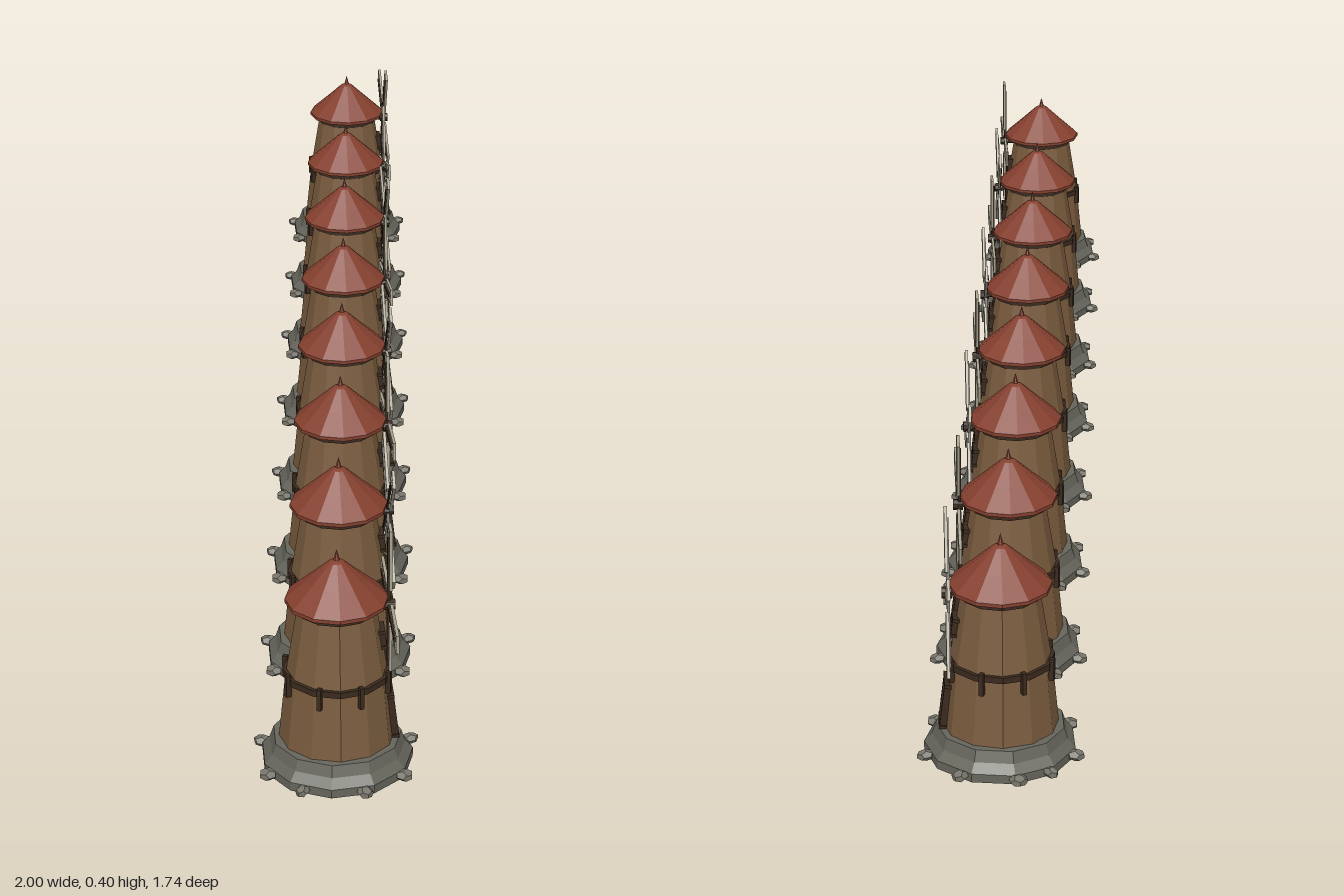
import * as THREE from 'three';

const mat = (color) => new THREE.MeshStandardMaterial({ color, flatShading: true });
const MATS = {
  wall: mat(0x7a5c3e), roof: mat(0x85402f), stone: mat(0x66655c),
  rock: mat(0x77756a), beam: mat(0x3a2a1e), canvas: mat(0xa9a28f), glass: mat(0x1c2528),
};
MATS.roof.side = THREE.DoubleSide;

function add(parent, name, geometry, material, x = 0, y = 0, z = 0) {
  const mesh = new THREE.Mesh(geometry, material);
  mesh.name = name;
  mesh.position.set(x, y, z);
  parent.add(mesh);
  return mesh;
}
const box = (w, h, d) => new THREE.BoxGeometry(w, h, d);
const lathe = (points, sides) =>
  new THREE.LatheGeometry(points.map(([r, y]) => new THREE.Vector2(r, y)), sides);

// Puts a named child at an angle around the tower, facing outward
function around(parent, name, angle) {
  const g = new THREE.Group();
  g.name = name;
  g.rotation.y = angle;
  parent.add(g);
  return g;
}

// Shared shapes
const GEO = {
  base: lathe([[0, 0], [0.118, 0], [0.118, 0.014], [0.106, 0.028], [0.1, 0.046], [0, 0.05]], 11),
  tower: lathe([[0.09, 0.04], [0.079, 0.15], [0.058, 0.28]], 12),
  belt: lathe([[0.076, 0.152], [0.083, 0.152], [0.083, 0.162], [0.074, 0.162]], 12),
  collar: lathe([[0.058, 0.262], [0.063, 0.264], [0.063, 0.28], [0.056, 0.28]], 12),
  roof: lathe([[0.05, 0.274], [0.079, 0.276], [0.079, 0.282], [0.045, 0.312], [0.012, 0.342], [0, 0.347]], 12),
  finial: new THREE.ConeGeometry(0.006, 0.022, 6),
  rock: new THREE.DodecahedronGeometry(0.014),
  bracket: box(0.007, 0.036, 0.008),
  spar: box(0.006, 0.11, 0.005),
  slat: box(0.028, 0.0165, 0.003),
  bar: box(0.031, 0.0025, 0.005),
  edge: box(0.002, 0.1, 0.005),
  hub: new THREE.CylinderGeometry(0.009, 0.009, 0.016, 8).rotateX(Math.PI / 2),
  axle: new THREE.CylinderGeometry(0.005, 0.005, 0.045, 6).rotateX(Math.PI / 2),
};

// Four lattice blades on a hub
function buildSails(turn) {
  const sails = new THREE.Group();
  sails.name = 'sails';
  add(sails, 'hub', GEO.hub, MATS.beam);
  for (let i = 0; i < 4; i++) {
    const blade = new THREE.Group();
    blade.name = 'blade';
    blade.rotation.z = i * Math.PI / 2;
    add(blade, 'spar', GEO.spar, MATS.beam, 0, 0.058, -0.002);
    for (let s = 0; s < 5; s++)
      add(blade, 'sailPanel', GEO.slat, MATS.canvas, 0, 0.041 + s * 0.0195, 0.001);
    for (let s = 0; s < 6; s++)
      add(blade, 'crossBar', GEO.bar, MATS.canvas, 0, 0.031 + s * 0.0195, 0);
    for (const side of [-1, 1])
      add(blade, 'sailEdge', GEO.edge, MATS.canvas, side * 0.0145, 0.08, 0);
    sails.add(blade);
  }
  sails.position.set(0, 0.266, 0.081);
  sails.rotation.z = turn;
  return sails;
}

// Framed opening on the sloping front wall
function framedOpening(name, w, h, y, z, fill) {
  const g = new THREE.Group();
  g.name = name;
  g.position.set(0, y, z);
  g.rotation.x = -0.12;
  add(g, name + 'Panel', box(w, h, 0.008), fill);
  for (const s of [-1, 1]) add(g, name + 'Jamb', box(0.005, h + 0.006, 0.013), MATS.beam, s * (w / 2), 0, 0);
  add(g, name + 'Lintel', box(w + 0.012, 0.006, 0.014), MATS.beam, 0, h / 2, 0);
  add(g, name + 'Sill', box(w + 0.01, 0.005, 0.014), MATS.beam, 0, -h / 2, 0);
  return g;
}

function buildMill(index) {
  const mill = new THREE.Group();
  mill.name = 'windmill';
  add(mill, 'stoneBase', GEO.base, MATS.stone);
  add(mill, 'tower', GEO.tower, MATS.wall);
  add(mill, 'belt', GEO.belt, MATS.beam);
  add(mill, 'collar', GEO.collar, MATS.beam);
  add(mill, 'roof', GEO.roof, MATS.roof);
  add(mill, 'finial', GEO.finial, MATS.roof, 0, 0.352, 0);

  // Loose rocks around the foot
  [0.3, 1.0, 1.75, 2.2, 2.75, 3.6, 4.2, 5.0, 5.65].forEach((a, i) => {
    const rock = add(around(mill, 'footRock', a), 'rock', GEO.rock, MATS.rock, 0, 0.009, 0.122);
    rock.scale.set(0.75 + 0.15 * (i % 3), 0.62, 1.05);
  });

  // Timber brackets around the belt
  for (let i = 0; i < 8; i++)
    add(around(mill, 'beltBracket', (i + 0.5) * Math.PI / 4), 'bracket', GEO.bracket, MATS.beam, 0, 0.149, 0.083);

  mill.add(framedOpening('door', 0.036, 0.07, 0.083, 0.084, MATS.beam));
  mill.add(framedOpening('window', 0.02, 0.026, 0.212, 0.068, MATS.glass));
  add(mill, 'axle', GEO.axle, MATS.beam, 0, 0.266, 0.062);
  mill.add(buildSails(-index * THREE.MathUtils.degToRad(47.5)));
  return mill;
}

export function createModel() {
  const model = new THREE.Group();
  model.name = 'windmillRow';
  // Eight mills on a diagonal, each with its sails turned further
  for (let i = 0; i < 8; i++) {
    const mill = buildMill(i);
    mill.position.set(-0.86 + i * 0.2457, 0, 0.727 - i * 0.2081);
    mill.rotation.y = Math.PI / 4;
    model.add(mill);
  }
  return model;
}
